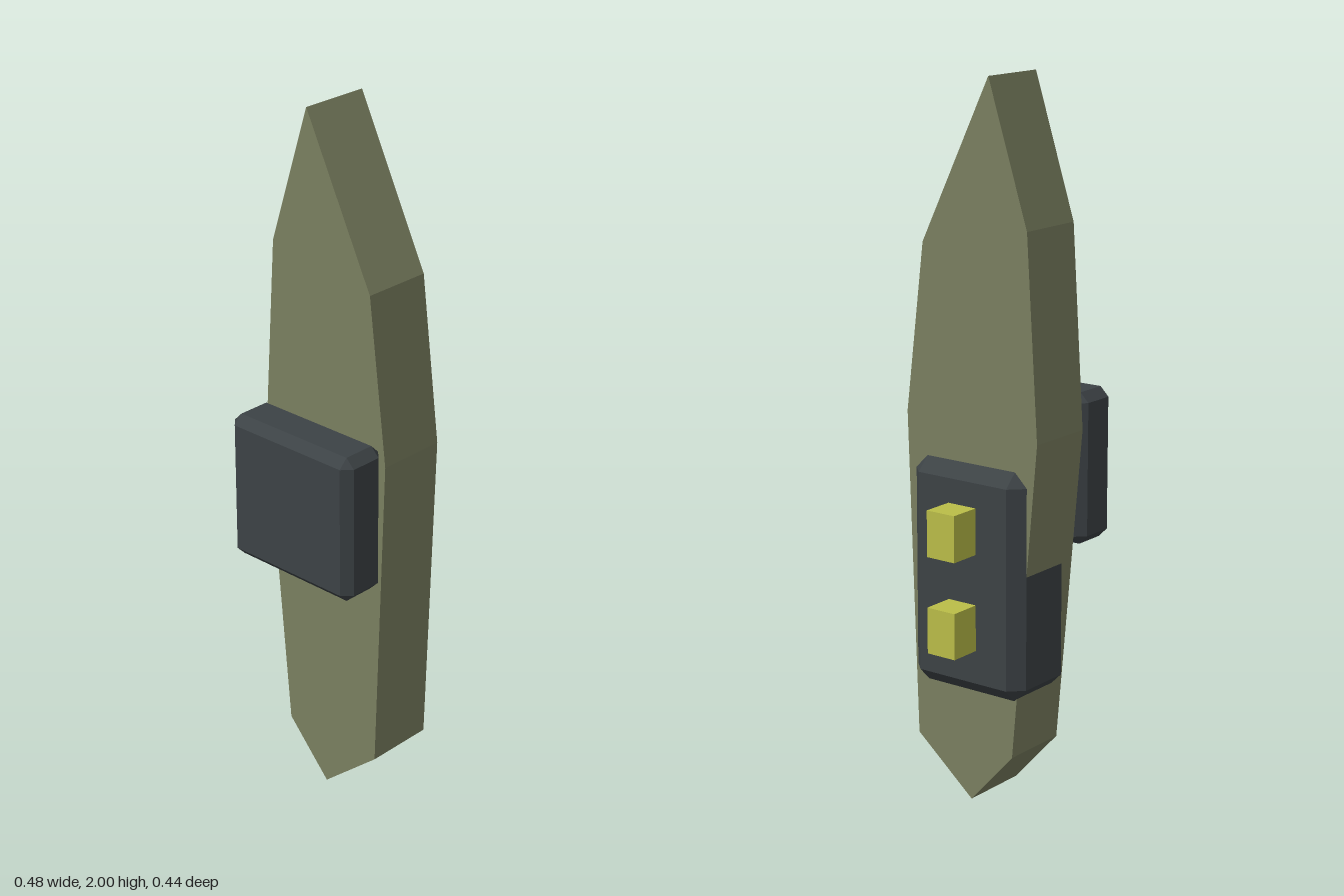
import * as THREE from 'three';
import { ConvexGeometry } from 'three/addons/geometries/ConvexGeometry.js';

const material = (color) => new THREE.MeshStandardMaterial({ color, flatShading: true });
const olive = material(0x7a7f60);
const darkGrey = material(0x3c4245);
const yellow = material(0xbabd48);

// Box between two corners with every edge chamfered by b
function chamferedBox(min, max, b) {
  const half = min.map((v, i) => (max[i] - v) / 2);
  const centre = min.map((v, i) => (max[i] + v) / 2);
  const points = [];
  for (const sx of [-1, 1]) for (const sy of [-1, 1]) for (const sz of [-1, 1]) {
    for (let axis = 0; axis < 3; axis++) {
      const p = [sx, sy, sz].map((s, i) => centre[i] + s * (half[i] - (i === axis ? 0 : b)));
      points.push(new THREE.Vector3(...p));
    }
  }
  return new ConvexGeometry(points);
}

export function createModel() {
  const group = new THREE.Group();
  const add = (name, geometry, mat) => {
    const mesh = new THREE.Mesh(geometry, mat);
    mesh.name = name;
    group.add(mesh);
    return mesh;
  };

  // Pointed slab: outline in (z, y), extruded across x
  const outline = [
    [0, 0], [0.185, 0.155], [0.217, 1.08], [0.16, 1.55],
    [-0.06, 2], [-0.185, 1.61], [-0.22, 1.05], [-0.14, 0.155],
  ];
  const shape = new THREE.Shape(outline.map(([z, y]) => new THREE.Vector2(-z, y)));
  const slab = new THREE.ExtrudeGeometry(shape, { depth: 0.206, bevelEnabled: false });
  slab.rotateY(Math.PI / 2).translate(-0.097, 0, 0);
  add('slabBody', slab, olive);

  // Chamfered block on the right side
  add('rightBlock', chamferedBox([-0.243, 0.72, -0.22], [-0.097, 1.145, 0.217], 0.026), darkGrey);

  // Chamfered plate sunk into the left side
  add('leftPlate', chamferedBox([-0.09, 0.322, -0.187], [0.148, 0.965, 0.187], 0.039), darkGrey);

  // Two studs on the plate
  for (const [name, y] of [['lowerStud', 0.52], ['upperStud', 0.792]]) {
    add(name, new THREE.BoxGeometry(0.141, 0.13, 0.092), yellow).position.set(0.1705, y, 0);
  }

  return group;
}
